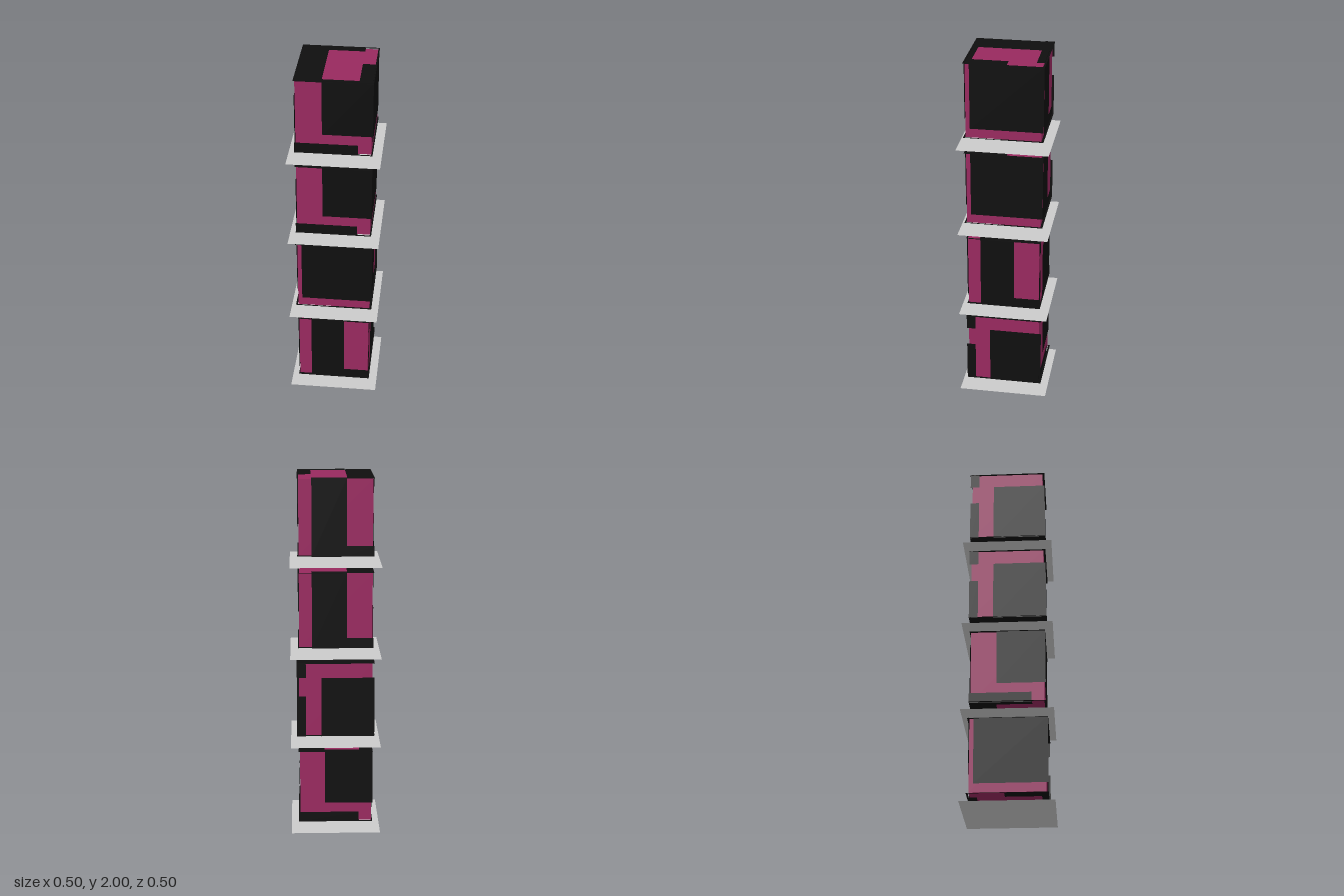
import * as THREE from 'three';

const mat = (color) => new THREE.MeshStandardMaterial({ color, side: THREE.DoubleSide });
const LEVELS = 4, STEP = 0.508, CENTRE = 0.265;
const HX = 0.2, HY = 0.205, HZ = 0.203; // half sizes of the cube body
const GAP = 0.003;                      // panels float just off the body

// Panels per side: [min across, max across, min y, max y], y from the cube centre
const SIDES = {
  front: [[-0.06, 0.207, -0.1, 0.212], [-0.208, 0.13, -0.212, -0.155]],
  back: [[-0.06, 0.13, -0.212, 0.212], [-0.207, -0.06, -0.212, -0.155]],
  left: [[-0.215, 0.18, -0.155, 0.212]],
  right: [[-0.08, 0.215, -0.212, 0.126], [-0.215, -0.165, -0.212, 0.02], [-0.215, -0.165, 0.126, 0.212]],
};

// Upright panel: across runs along x (front, back) or z (left, right)
function sidePanel(side, [a, b, y0, y1], material) {
  const mesh = new THREE.Mesh(new THREE.PlaneGeometry(b - a, y1 - y0), material);
  const mid = (a + b) / 2, y = (y0 + y1) / 2;
  if (side === 'front') mesh.position.set(mid, y, HZ + GAP);
  if (side === 'back') mesh.position.set(mid, y, -HZ - GAP);
  if (side === 'left') mesh.position.set(HX + GAP, y, mid);
  if (side === 'right') mesh.position.set(-HX - GAP, y, mid);
  mesh.rotation.y = { front: 0, back: Math.PI, left: Math.PI / 2, right: -Math.PI / 2 }[side];
  mesh.name = side + 'Panel';
  return mesh;
}

// Square sheet with a stepped opening, used above and below the body
function openSheet() {
  const pts = (list) => list.map(([x, z]) => new THREE.Vector2(x, -z));
  const shape = new THREE.Shape(pts([[-0.208, 0.215], [0.207, 0.215], [0.207, -0.217], [-0.208, -0.217]]));
  shape.holes.push(new THREE.Path(pts([
    [-0.062, -0.165], [0.132, -0.165], [0.132, -0.207], [0.199, -0.207],
    [0.199, -0.017], [0.132, -0.017], [0.132, 0.178], [-0.062, 0.178],
  ])));
  return new THREE.ShapeGeometry(shape);
}

function makeCube(bodyMat, panelMat) {
  const cube = new THREE.Group();
  const body = new THREE.Mesh(new THREE.BoxGeometry(HX * 2, HY * 2, HZ * 2), bodyMat);
  body.name = 'cubeBody';
  cube.add(body);

  for (const [side, rects] of Object.entries(SIDES)) {
    for (const rect of rects) cube.add(sidePanel(side, rect, panelMat));
  }
  for (const s of [1, -1]) {
    const sheet = new THREE.Mesh(openSheet().rotateX(-s * Math.PI / 2), panelMat);
    sheet.position.y = s * (HY + GAP);
    sheet.name = s > 0 ? 'topPanel' : 'bottomPanel';
    cube.add(sheet);
  }
  return cube;
}

export function createModel() {
  const model = new THREE.Group();
  model.name = 'cubeStack';
  const bodyMat = mat(0x98295f), panelMat = mat(0x0f0f0f), shelfMat = mat(0xcccccc);
  const turns = [Math.PI, -Math.PI / 2, 0, 0]; // from the bottom up

  for (let i = 0; i < LEVELS; i++) {
    // Thin square shelf under each cube
    const shelf = new THREE.Mesh(new THREE.PlaneGeometry(0.5, 0.5).rotateX(-Math.PI / 2), shelfMat);
    shelf.position.y = i * STEP;
    shelf.name = 'shelf' + (i + 1);

    const cube = makeCube(bodyMat, panelMat);
    cube.position.y = i * STEP + CENTRE;
    cube.rotation.y = turns[i];
    cube.name = 'cube' + (i + 1);
    model.add(shelf, cube);
  }
  return model;
}
